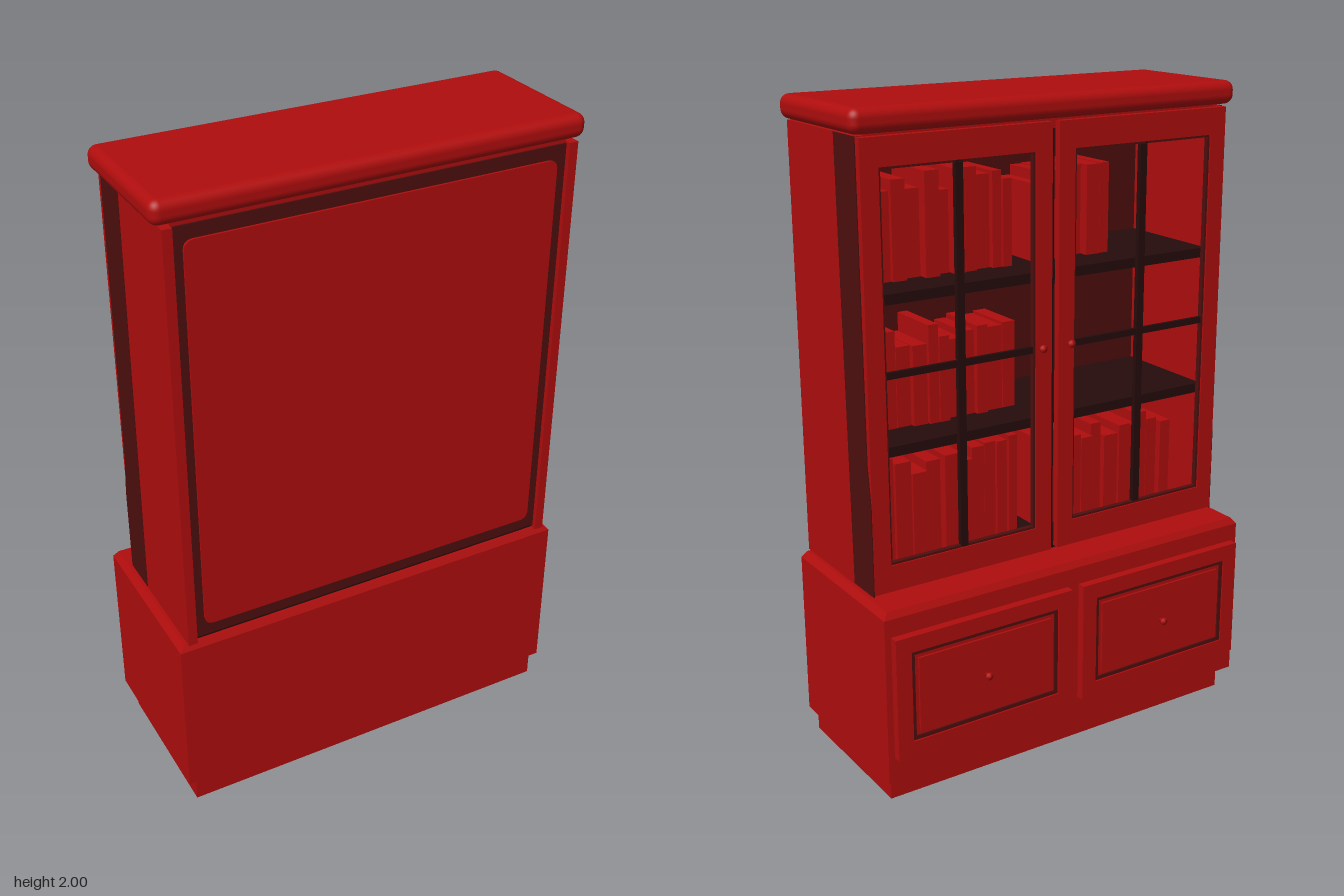
import * as THREE from 'three';
import { RoundedBoxGeometry } from 'three/addons/geometries/RoundedBoxGeometry.js';

const mat = (name, color) => {
  const m = new THREE.MeshStandardMaterial({ color });
  m.name = name;
  return m;
};

export function createModel() {
  const red = mat('red', 0xb00d0d);
  const maroon = mat('maroon', 0x4e0e0e);
  const dark = mat('darkMaroon', 0x260c0c);
  const root = new THREE.Group();
  root.name = 'bookcase';

  const add = (name, geo, material, parent = root) => {
    const m = new THREE.Mesh(geo, material);
    m.name = name;
    parent.add(m);
    return m;
  };
  // Box given by its minimum and maximum on each axis
  const box = (name, x0, x1, y0, y1, z0, z1, material, parent) => {
    const g = new THREE.BoxGeometry(x1 - x0, y1 - y0, z1 - z0);
    g.translate((x0 + x1) / 2, (y0 + y1) / 2, (z0 + z1) / 2);
    return add(name, g, material, parent);
  };
  const rect = (Type, x0, x1, y0, y1) => {
    const p = new Type();
    p.moveTo(x0, y0);
    p.lineTo(x1, y0);
    p.lineTo(x1, y1);
    p.lineTo(x0, y1);
    p.closePath();
    return p;
  };
  // Rectangular frame with an open middle
  const frame = (name, x0, x1, y0, y1, w, h, z0, z1, material, parent) => {
    const s = rect(THREE.Shape, x0, x1, y0, y1);
    s.holes.push(rect(THREE.Path, x0 + w, x1 - w, y0 + h, y1 - h));
    const g = new THREE.ExtrudeGeometry(s, { depth: z1 - z0, bevelEnabled: false });
    g.translate(0, 0, z0);
    return add(name, g, material, parent);
  };
  // Turned knob pointing to -z
  const knob = (name, x, y, z, parent) => {
    const pts = [[0, 0], [0.007, 0], [0.006, 0.008], [0.012, 0.013], [0.012, 0.019], [0, 0.024]];
    const g = new THREE.LatheGeometry(pts.map(p => new THREE.Vector2(...p)), 12);
    g.rotateX(-Math.PI / 2);
    g.translate(x, y, z);
    add(name, g, red, parent);
  };

  // Plinth and lower cabinet with a chamfered top
  box('plinth', -0.62, 0.62, 0, 0.08, -0.205, 0.28, red);
  box('lowerCabinet', -0.645, 0.645, 0.08, 0.6, -0.245, 0.29, red);
  let cap = new THREE.BoxGeometry(1.29, 0.02, 0.535).toNonIndexed();
  const p = cap.attributes.position;
  for (let i = 0; i < p.count; i++) {
    if (p.getY(i) > 0) {
      p.setX(i, p.getX(i) - Math.sign(p.getX(i)) * 0.016);
      p.setZ(i, p.getZ(i) - Math.sign(p.getZ(i)) * 0.012);
    }
  }
  cap.computeVertexNormals();
  cap.translate(0, 0.61, 0.0225);
  add('lowerCabinetTop', cap, red);

  // Crown
  const crown = new RoundedBoxGeometry(1.29, 0.07, 0.447, 4, 0.028);
  crown.translate(0, 1.965, 0.0685);
  add('crown', crown, red);

  // Upper carcass
  box('upperTop', -0.59, 0.59, 1.9, 1.93, -0.115, 0.27, red);
  box('upperFloor', -0.59, 0.59, 0.62, 0.635, -0.115, 0.27, dark);
  box('backBoard', -0.59, 0.59, 0.63, 1.92, 0.262, 0.275, maroon);
  const panel = new THREE.Shape();
  const [a, b, c, r] = [0.56, 0.67, 1.88, 0.03];
  panel.moveTo(-a + r, b);
  panel.lineTo(a - r, b);
  panel.quadraticCurveTo(a, b, a, b + r);
  panel.lineTo(a, c - r);
  panel.quadraticCurveTo(a, c, a - r, c);
  panel.lineTo(-a + r, c);
  panel.quadraticCurveTo(-a, c, -a, c - r);
  panel.lineTo(-a, b + r);
  panel.quadraticCurveTo(-a, b, -a + r, b);
  const panelGeo = new THREE.ExtrudeGeometry(panel, { depth: 0.007, bevelEnabled: false });
  panelGeo.translate(0, 0, 0.275);
  add('backPanel', panelGeo, red);
  box('centrePost', -0.012, 0.012, 0.635, 1.9, -0.115, -0.09, dark);

  // Dark facing along the door side of each cabinet wall
  const strip = new THREE.Shape();
  [[0, 1.925], [0.12, 1.925], [0.125, 1.02], [0.14, 0.9], [0.14, 0.625], [0.02, 0.625]]
    .forEach(([u, v], i) => (i ? strip.lineTo(u, v) : strip.moveTo(u, v)));

  for (const s of [1, -1]) {
    const side = s > 0 ? 'left' : 'right';
    const span = (u, v) => [Math.min(s * u, s * v), Math.max(s * u, s * v)];

    box(side + 'Wall', ...span(0.59, 0.618), 0.62, 1.925, -0.12, 0.29, red);
    const sg = new THREE.ExtrudeGeometry(strip, { depth: 0.003, bevelEnabled: false });
    sg.rotateY(Math.PI / 2);
    sg.translate(s * 0.6185 - 0.0015, 0, 0);
    add(side + 'WallFacing', sg, maroon);

    // Glazed door without glass: frame, inner moulding and glazing bars
    const door = new THREE.Group();
    door.name = side + 'Door';
    root.add(door);
    const [d0, d1] = span(0.012, 0.617);
    frame('doorFrame', d0, d1, 0.63, 1.923, 0.055, 0.08, -0.142, -0.12, red, door);
    frame('doorMoulding', d0 + 0.05, d1 - 0.05, 0.705, 1.848, 0.012, 0.012, -0.137, -0.122, maroon, door);
    const mid = (d0 + d1) / 2;
    box('verticalBar', mid - 0.012, mid + 0.012, 0.71, 1.843, -0.137, -0.122, dark, door);
    box('horizontalBar', d0 + 0.055, d1 - 0.055, 1.26, 1.28, -0.135, -0.124, dark, door);
    knob('doorKnob', s * 0.05, 1.275, -0.14, door);

    // Drawer front with stepped moulding
    const drawer = new THREE.Group();
    drawer.name = side + 'Drawer';
    root.add(drawer);
    const [w0, w1] = span(0.02, 0.625);
    box('drawerPanel', w0, w1, 0.16, 0.545, -0.262, -0.245, red, drawer);
    frame('drawerFrame', w0, w1, 0.16, 0.545, 0.05, 0.05, -0.272, -0.262, red, drawer);
    frame('drawerMoulding', w0 + 0.05, w1 - 0.05, 0.21, 0.495, 0.012, 0.012, -0.267, -0.262, maroon, drawer);
    box('drawerField', w0 + 0.075, w1 - 0.075, 0.235, 0.47, -0.269, -0.262, red, drawer);
    knob('drawerKnob', s * 0.325, 0.352, -0.269, drawer);
  }

  // Shelves
  for (const y of [1.05, 1.49]) box('shelf', -0.59, 0.59, y - 0.03, y, -0.1, 0.262, dark);

  // Rows of books: start x, end x, shelf height, tallest book
  let seed = 7;
  const rnd = () => (seed = (seed * 16807) % 2147483647) / 2147483647;
  const rows = [
    [0.03, 0.57, 0.635, 0.33], [-0.57, -0.03, 0.635, 0.32],
    [0.03, 0.54, 1.05, 0.3],
    [0.05, 0.57, 1.49, 0.31], [-0.3, -0.03, 1.49, 0.28],
  ];
  for (const [x0, x1, y, tall] of rows) {
    const books = new THREE.Group();
    books.name = 'bookRow';
    root.add(books);
    for (let x = x0; x < x1 - 0.03;) {
      const t = 0.03 + rnd() * 0.025;
      const h = tall * (0.78 + rnd() * 0.22);
      box('book', x, Math.min(x + t, x1), y, y + h, 0.01 + rnd() * 0.03, 0.2, red, books);
      x += t + 0.003;
    }
  }
  return root;
}
